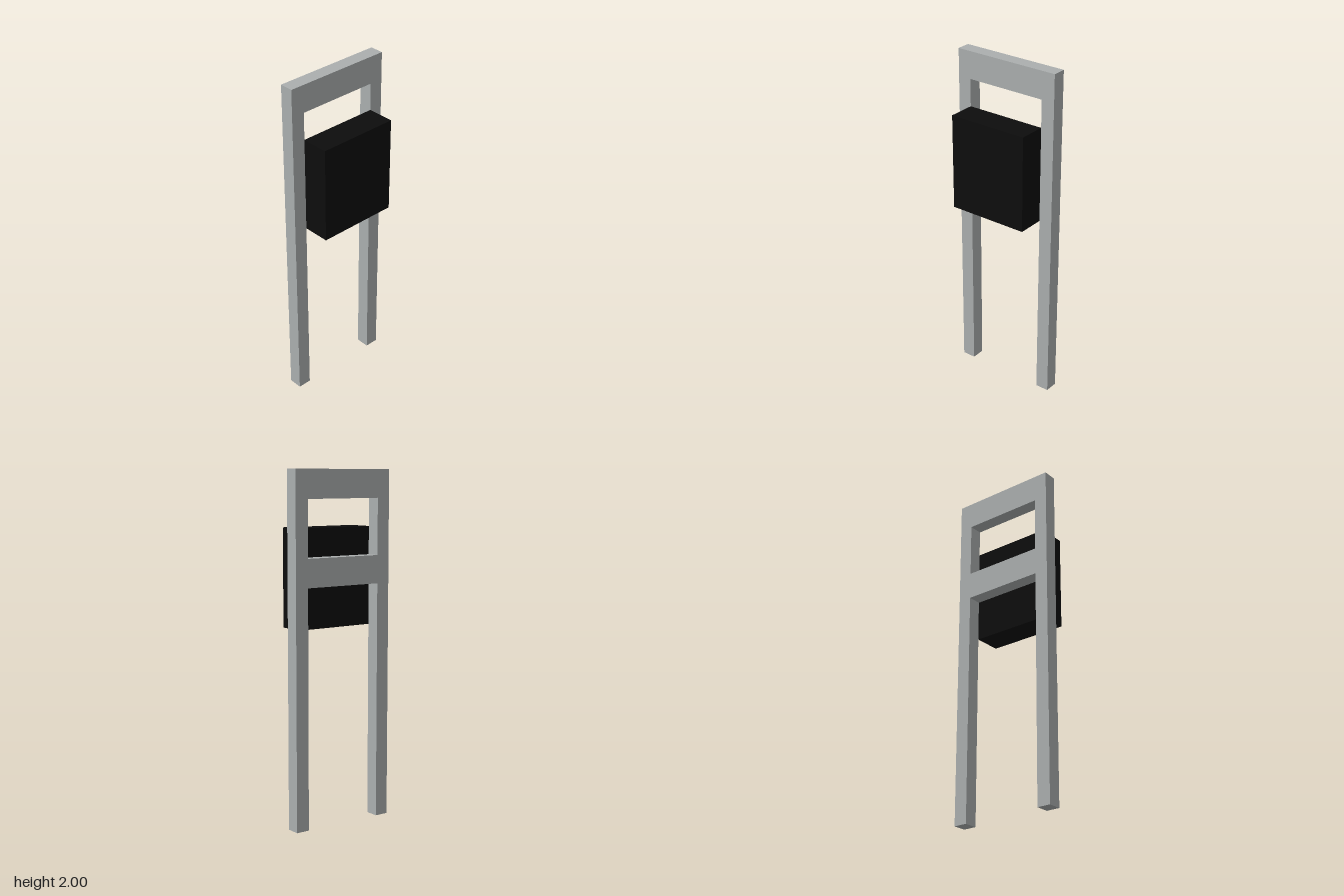
import * as THREE from 'three';

export function createModel() {
  const grey = new THREE.MeshStandardMaterial({ color: 0xabafaf });
  grey.name = 'frame grey';
  const black = new THREE.MeshStandardMaterial({ color: 0x0d0d0d });
  black.name = 'box black';
  const model = new THREE.Group();
  model.name = 'postMountedBox';

  // Frame outline: two legs joined by a crossbar and a top bar
  const outer = 0.32, inner = 0.24, depth = 0.08;
  const corners = (list) => list.map(([x, y]) => new THREE.Vector2(x, y));
  const outline = new THREE.Shape(corners([
    [-outer, 0], [-inner, 0], [-inner, 1.36], [inner, 1.36],
    [inner, 0], [outer, 0], [outer, 2], [-outer, 2],
  ]));
  // Opening between crossbar and top bar
  outline.holes.push(new THREE.Path(corners([
    [-inner, 1.52], [-inner, 1.84], [inner, 1.84], [inner, 1.52],
  ])));
  const frameGeometry = new THREE.ExtrudeGeometry(outline, { depth, bevelEnabled: false });
  frameGeometry.rotateY(Math.PI / 2);
  const frame = new THREE.Mesh(frameGeometry, grey);
  frame.name = 'frame';
  frame.position.x = -0.12;
  model.add(frame);

  // Box fixed to the side of the frame
  const box = new THREE.Mesh(new THREE.BoxGeometry(0.16, 0.56, 2 * inner), black);
  box.name = 'mountedBox';
  box.position.set(0.04, 1.4, 0);
  model.add(box);

  return model;
}
